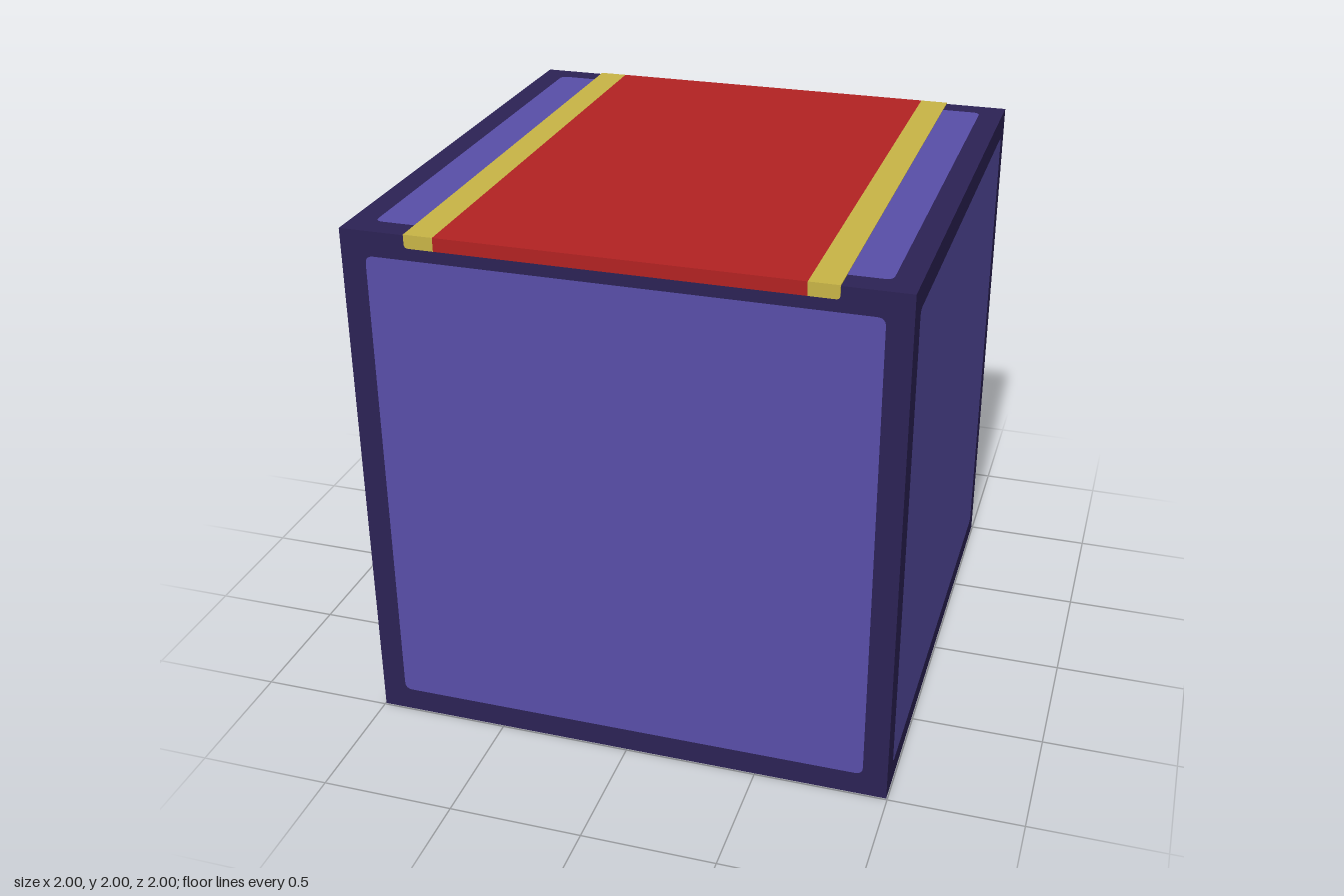
import * as THREE from 'three';

const mat = (name, color) => {
  const m = new THREE.MeshStandardMaterial({ color });
  m.name = name;
  return m;
};

// Rectangle outline with separate radii for its bottom-left and other corners
function roundedRect(x0, y0, x1, y1, bl, br, tr, tl) {
  const s = new THREE.Shape();
  s.moveTo(x0 + bl, y0);
  s.lineTo(x1 - br, y0);
  if (br) s.quadraticCurveTo(x1, y0, x1, y0 + br);
  s.lineTo(x1, y1 - tr);
  if (tr) s.quadraticCurveTo(x1, y1, x1 - tr, y1);
  s.lineTo(x0 + tl, y1);
  if (tl) s.quadraticCurveTo(x0, y1, x0, y1 - tl);
  s.lineTo(x0, y0 + bl);
  if (bl) s.quadraticCurveTo(x0, y0, x0 + bl, y0);
  return s;
}

export function createModel() {
  const group = new THREE.Group();
  const frame = mat('darkPurple', 0x2c2255);
  const purple = mat('purple', 0x584ea8);
  const red = mat('red', 0xb22222);
  const gold = mat('gold', 0xc8b446);

  const add = (name, geometry, material) => {
    const mesh = new THREE.Mesh(geometry, material);
    mesh.name = name;
    group.add(mesh);
    return mesh;
  };

  // Cube body, whose rim shows around the panels
  add('body', new THREE.BoxGeometry(1.992, 1.992, 1.992), frame).position.y = 1;

  // One rounded panel on each of the six faces
  const h = 0.905, r = 0.03;
  const panel = new THREE.ShapeGeometry(roundedRect(-h, -h, h, h, r, r, r, r), 6);
  const facing = {
    front: [0, 0], left: [0, Math.PI / 2], back: [0, Math.PI], right: [0, -Math.PI / 2],
    top: [-Math.PI / 2, 0], bottom: [Math.PI / 2, 0],
  };
  for (const [side, [rx, ry]] of Object.entries(facing)) {
    const mesh = add(side + 'Panel', panel, purple);
    mesh.rotation.set(rx, ry, 0);
    mesh.position.set(0, 0, 0.998).applyEuler(mesh.rotation);
    mesh.position.y += 1;
  }

  // Runner over the top, folded slightly down the front and back
  const strip = (name, shape, material) => {
    const g = new THREE.ExtrudeGeometry(shape, { depth: 2, bevelEnabled: false, curveSegments: 4 });
    add(name, g.translate(0, 0, -1), material);
  };
  const low = 1.95, inner = 0.648, outer = 0.755, c = 0.015;
  strip('runner', roundedRect(-inner, low, inner, 2, 0, 0, 0, 0), red);
  strip('leftRunnerBorder', roundedRect(inner, low, outer, 2, 0, c, 0, 0), gold);
  strip('rightRunnerBorder', roundedRect(-outer, low, -inner, 2, c, 0, 0, 0), gold);

  return group;
}
